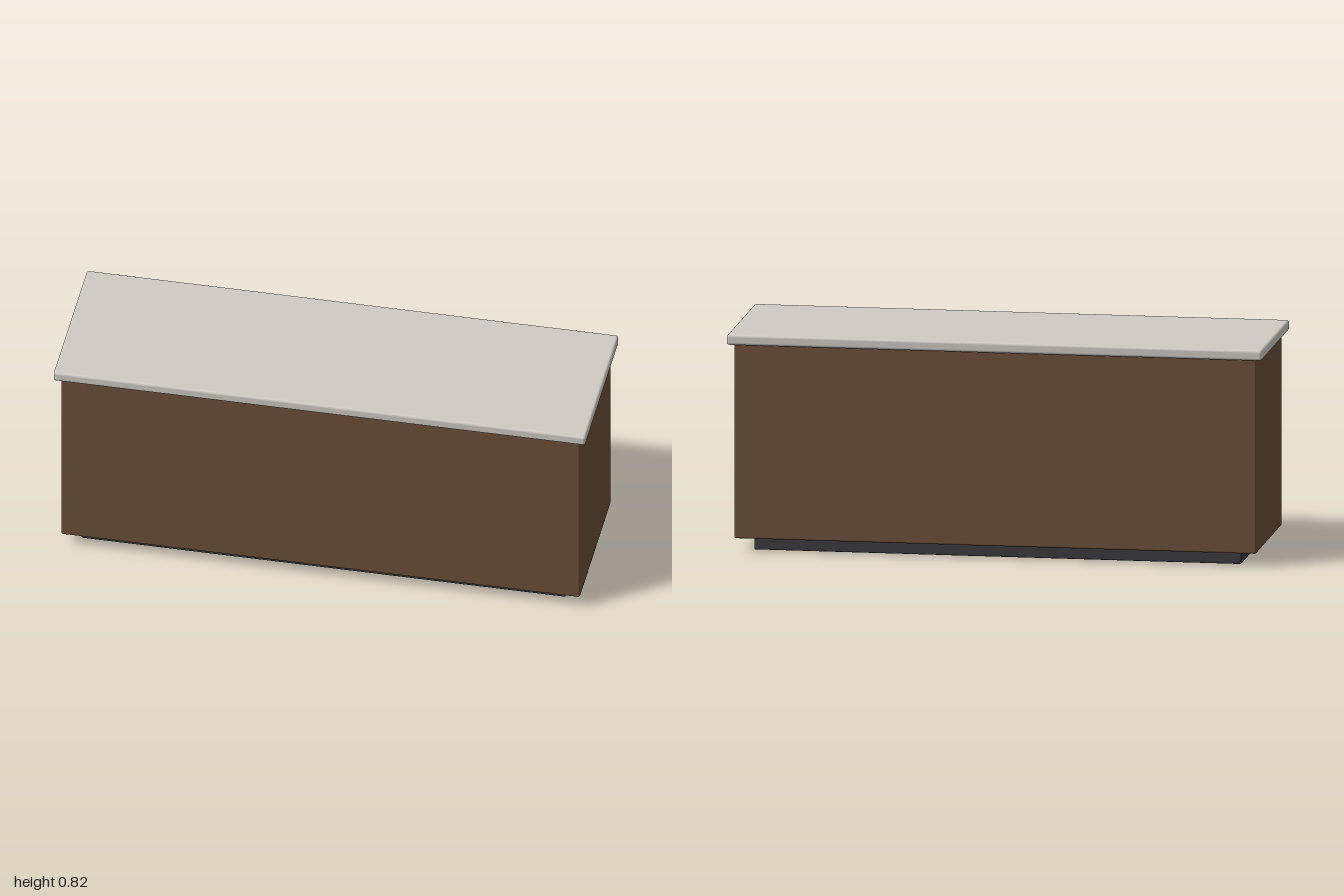
import * as THREE from 'three';
import { RoundedBoxGeometry } from 'three/addons/geometries/RoundedBoxGeometry.js';

// Softly rounded slab standing between heights y0 and y1
function slab(name, width, depth, y0, y1, radius, color) {
  const geometry = new RoundedBoxGeometry(width, y1 - y0, depth, 3, radius);
  const mesh = new THREE.Mesh(geometry, new THREE.MeshStandardMaterial({ color }));
  mesh.name = name;
  mesh.position.y = (y0 + y1) / 2;
  return mesh;
}

export function createModel() {
  const counter = new THREE.Group();
  counter.name = 'counter';
  counter.add(
    // Recessed dark base
    slab('toeKick', 1.82, 0.47, 0, 0.052, 0.003, 0x3a3a3e),
    // Wooden body
    slab('cabinet', 1.951, 0.585, 0.05, 0.782, 0.007, 0x6b4f3a),
    // Overhanging stone slab
    slab('countertop', 2, 0.634, 0.779, 0.818, 0.01, 0xcfcbc3)
  );
  return counter;
}
